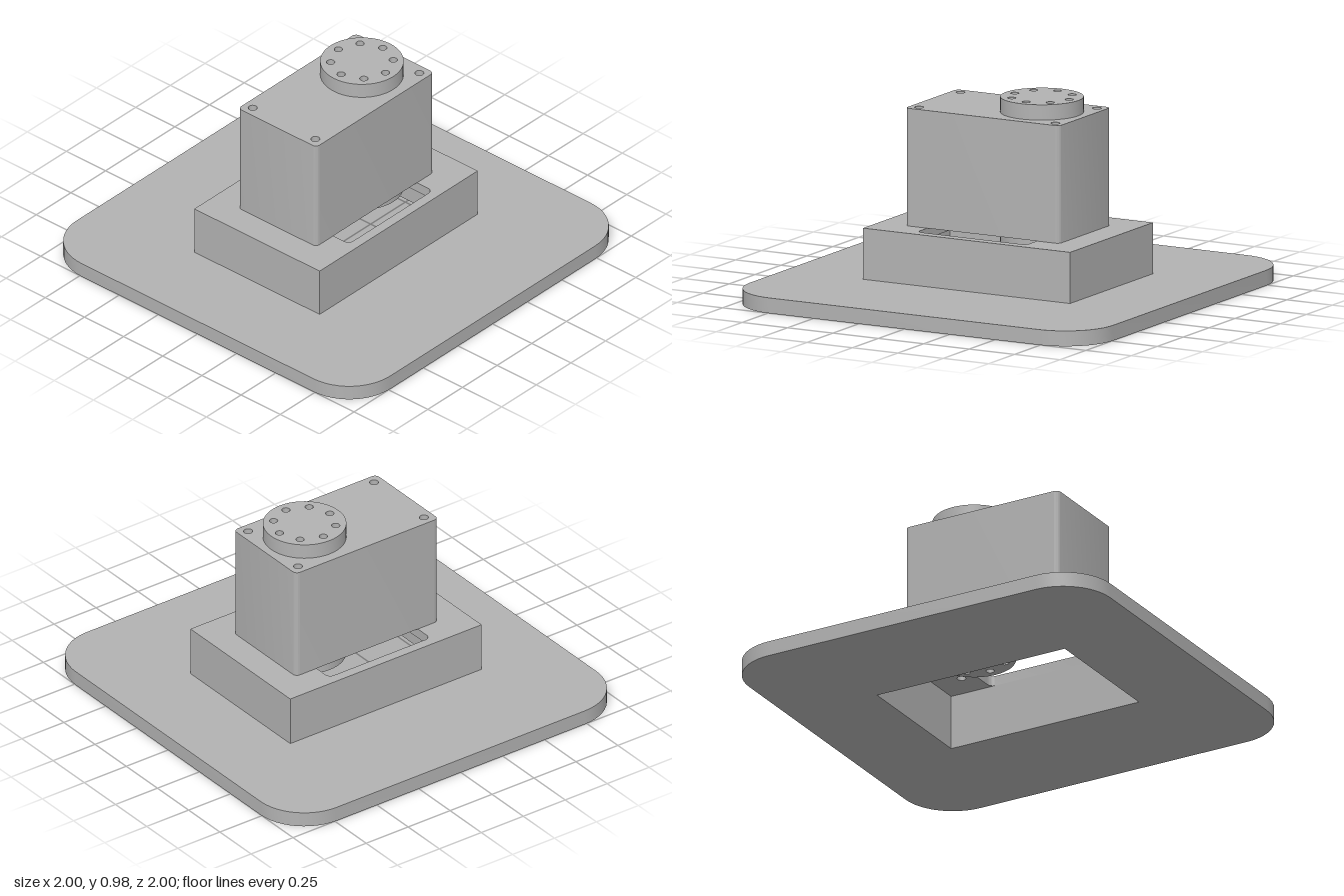
import * as THREE from 'three';
import { toCreasedNormals } from 'three/addons/utils/BufferGeometryUtils.js';

const steel = new THREE.MeshStandardMaterial({ color: 0xb2b2b2 });
steel.name = 'grey';

// Traces a rectangle with rounded corners (w, d are half sizes)
function roundedRect(path, w, d, r) {
  if (r === 0) {
    path.moveTo(-w, -d).lineTo(w, -d).lineTo(w, d).lineTo(-w, d).closePath();
    return path;
  }
  const q = Math.PI / 2;
  path.moveTo(-w + r, -d);
  path.absarc(w - r, -d + r, r, -q, 0, false);
  path.absarc(w - r, d - r, r, 0, q, false);
  path.absarc(-w + r, d - r, r, q, 2 * q, false);
  path.absarc(-w + r, -d + r, r, 2 * q, 3 * q, false);
  path.closePath();
  return path;
}

function circle(path, x, y, r) {
  path.absarc(x, y, r, 0, Math.PI * 2, false);
  return path;
}

// Extrudes a plan outline upwards from y0 to y1
function slab(name, shape, y0, y1, segments) {
  let geo = new THREE.ExtrudeGeometry(shape, { depth: y1 - y0, bevelEnabled: false, curveSegments: segments });
  geo.rotateX(-Math.PI / 2);
  geo.translate(0, y0, 0);
  geo = toCreasedNormals(geo, 0.7);
  const mesh = new THREE.Mesh(geo, steel);
  mesh.name = name;
  return mesh;
}

function addScrewHoles(shape) {
  for (const x of [-0.375, 0.375])
    for (const z of [-0.2, 0.2]) shape.holes.push(circle(new THREE.Path(), x, z, 0.022));
}

export function createModel() {
  const model = new THREE.Group();
  model.name = 'mountedServo';

  // Base plate, open under the hollow pedestal
  const plate = roundedRect(new THREE.Shape(), 1, 1, 0.26);
  plate.holes.push(roundedRect(new THREE.Path(), 0.52, 0.35, 0));
  model.add(slab('basePlate', plate, 0, 0.075, 6));

  // Pedestal walls
  const walls = roundedRect(new THREE.Shape(), 0.57, 0.4, 0);
  walls.holes.push(roundedRect(new THREE.Path(), 0.52, 0.35, 0));
  model.add(slab('pedestalWalls', walls, 0.075, 0.275, 6));

  // Pedestal top with central slot and screw holes
  const top = roundedRect(new THREE.Shape(), 0.57, 0.4, 0);
  top.holes.push(roundedRect(new THREE.Path(), 0.302, 0.35, 0.03));
  addScrewHoles(top);
  model.add(slab('pedestalTop', top, 0.275, 0.325, 8));

  // Motor housing with four through holes
  const body = roundedRect(new THREE.Shape(), 0.425, 0.25, 0.025);
  addScrewHoles(body);
  model.add(slab('motorHousing', body, 0.325, 0.9, 8));

  // Output horns above and below the housing, each with a ring of holes
  const horn = circle(new THREE.Shape(), 0.187, 0, 0.2);
  for (let i = 0; i < 8; i++) {
    const a = (i * Math.PI) / 4;
    horn.holes.push(circle(new THREE.Path(), 0.187 + 0.15 * Math.cos(a), 0.15 * Math.sin(a), 0.02));
  }
  model.add(slab('upperHorn', horn, 0.9, 0.975, 24));
  model.add(slab('lowerHorn', horn, 0.25, 0.325, 24));

  return model;
}
